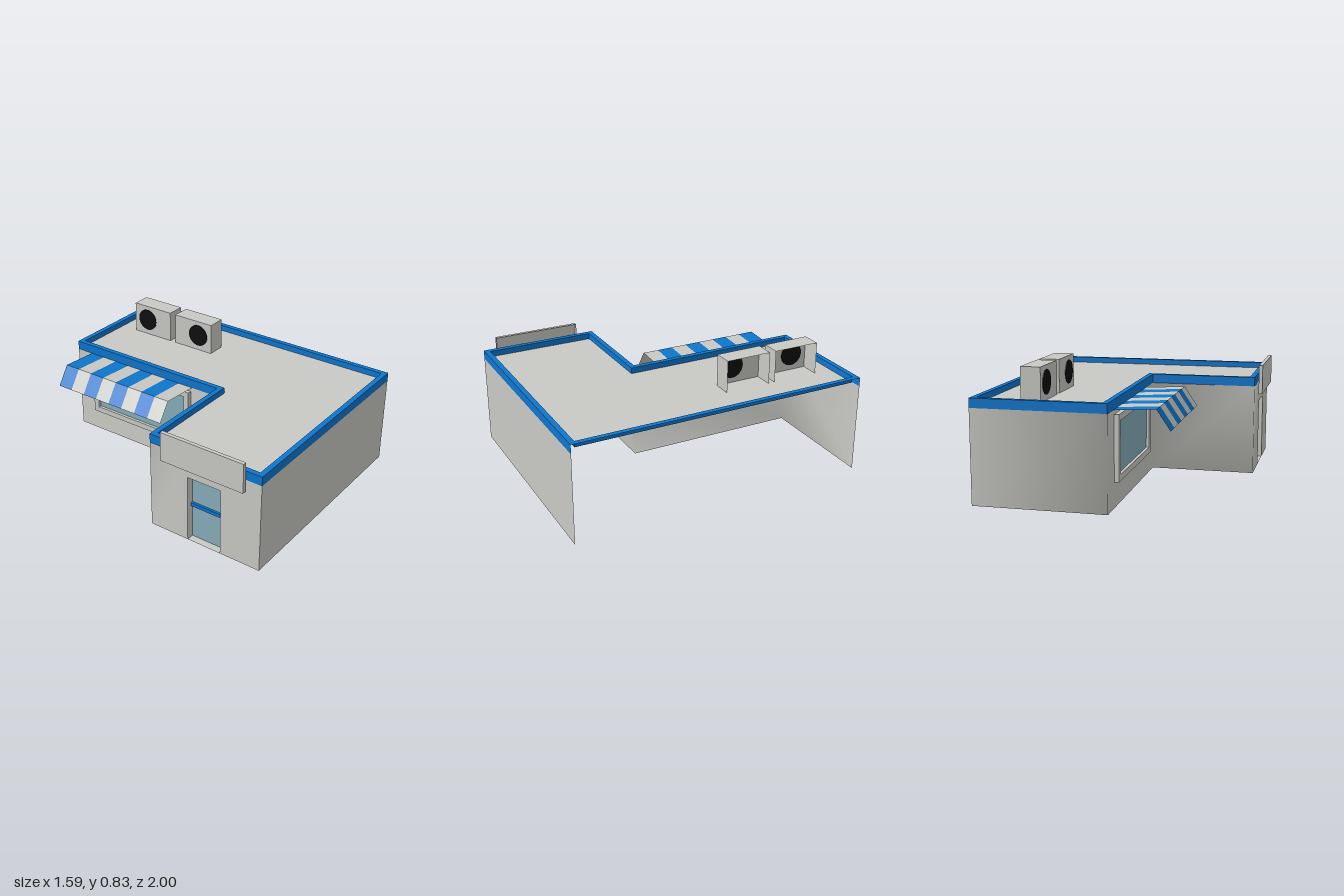
import * as THREE from 'three';

const material = (name, color) => {
  const m = new THREE.MeshStandardMaterial({ color, side: THREE.DoubleSide });
  m.name = name;
  return m;
};

// Quads joining two rows of points; smooth shares normals across the folds
function sheet(rowA, rowB, smooth = false) {
  const n = rowA.length, index = [];
  for (let i = 0; i < n - 1; i++) index.push(i, i + 1, n + i + 1, i, n + i + 1, n + i);
  let g = new THREE.BufferGeometry();
  g.setAttribute('position', new THREE.Float32BufferAttribute([...rowA, ...rowB].flat(), 3));
  g.setIndex(index);
  if (!smooth) g = g.toNonIndexed();
  g.computeVertexNormals();
  return g;
}

// Vertical strip following a ground path of [x, z] points
const strip = (path, y0, y1, smooth) =>
  sheet(path.map(([x, z]) => [x, y0, z]), path.map(([x, z]) => [x, y1, z]), smooth);

// Horizontal face from [x, z] outlines, facing up
function flat(outline, y, hole) {
  const pts = (list) => list.map(([x, z]) => new THREE.Vector2(x, -z));
  const shape = new THREE.Shape(pts(outline));
  if (hole) shape.holes.push(new THREE.Path(pts(hole)));
  return new THREE.ShapeGeometry(shape).rotateX(-Math.PI / 2).translate(0, y, 0);
}

// Box between two corners; open leaves out its +x face
function box([x0, y0, z0], [x1, y1, z1], open = false) {
  const g = new THREE.BoxGeometry(x1 - x0, y1 - y0, z1 - z0);
  g.translate((x0 + x1) / 2, (y0 + y1) / 2, (z0 + z1) / 2);
  if (open) {
    g.setIndex(Array.from(g.index.array).slice(6));
    g.clearGroups();
  }
  return g;
}

export function createModel() {
  const model = new THREE.Group();
  const grey = material('light grey', 0xc9c9c4);
  const blue = material('blue', 0x0e76cc);
  const glass = material('glass blue', 0x86aebb);
  const black = material('black', 0x0e0e0e);
  const add = (name, geometry, mat) => {
    const mesh = new THREE.Mesh(geometry, mat);
    mesh.name = name;
    model.add(mesh);
  };

  // L-shaped footprint, open along the +x side
  const outer = [[0.795, -1], [-0.055, -1], [-0.055, 0.2], [-0.755, 0.2], [-0.755, 1], [0.795, 1]];
  const inner = [[0.76, -0.965], [-0.02, -0.965], [-0.02, 0.235], [-0.72, 0.235], [-0.72, 0.965], [0.76, 0.965]];
  const wallTop = 0.6, trimTop = 0.66, roofY = 0.62;
  const side = -0.755, doorBack = -0.705, doorTop = 0.455, d0 = 0.48, d1 = 0.72;

  // Walls, with an opening for the door
  add('rearWalls', strip([...outer.slice(0, 4), [side, d0]], 0, wallTop, true), grey);
  add('doorLintel', strip([[side, d0], [side, d1]], doorTop, wallTop), grey);
  add('doorSideWall', strip([[side, d1], [side, 1]], 0, wallTop), grey);
  add('frontWall', strip(outer.slice(4), 0, wallTop), grey);

  // Recessed door: reveal, glass and push bar
  const reveal = [[0, d0], [doorTop, d0], [doorTop, d1], [0, d1], [0, d0]];
  add('doorReveal', sheet(reveal.map(([y, z]) => [side, y, z]), reveal.map(([y, z]) => [doorBack, y, z])), grey);
  add('doorGlass', strip([[doorBack, d0], [doorBack, d1]], 0, doorTop), glass);
  add('doorBar', box([doorBack - 0.015, 0.23, d0], [doorBack + 0.004, 0.255, d1]), blue);

  // Roof and its raised blue edge
  add('roof', flat(inner, roofY), grey);
  add('trimOuter', strip(outer, wallTop, trimTop), blue);
  add('trimTop', flat(outer, trimTop, inner), blue);
  add('trimInner', strip([...inner, inner[0]].reverse(), roofY, trimTop), blue);

  // Framed shop window
  const wx = -0.055, fx = -0.085, y0 = 0.16, y1 = 0.57, z0 = -0.85, z1 = -0.01, w = 0.04;
  add('windowFrameBottom', box([fx, y0, z0], [wx, y0 + w, z1], true), grey);
  add('windowFrameTop', box([fx, y1 - w, z0], [wx, y1, z1], true), grey);
  for (const z of [z0, z1 - w])
    add('windowFrameSide', box([fx, y0 + w, z], [wx, y1 - w, z + w], true), grey);
  add('windowGlass', strip([[-0.065, z0 + w], [-0.065, z1 - w]], y0 + w, y1 - w), glass);

  // Striped awning
  const profile = [[-0.055, 0.6], [-0.315, 0.615], [-0.4, 0.49]];
  const stripe = 0.875 / 8;
  for (let i = 0; i < 8; i++) {
    const z = -0.875 + i * stripe;
    const row = (rz) => profile.map(([x, y]) => [x, y, rz]);
    add('awningStripe', sheet(row(z), row(z + stripe)), i % 2 ? grey : blue);
  }

  // Sign board by the door
  add('signBoard', box([-0.795, 0.53, 0.31], [-0.77, 0.727, 0.9], true), grey);

  // Rooftop air conditioners, each with a round fan
  for (const [za, zb, fan] of [[-0.48, -0.17, -0.28], [-0.84, -0.525, -0.73]]) {
    add('airConditioner', box([0.4, roofY, za], [0.528, 0.835, zb], true), grey);
    const disc = new THREE.CylinderGeometry(0.077, 0.077, 0.008, 32).rotateZ(Math.PI / 2);
    add('fan', disc.translate(0.4, 0.73, fan), black);
  }
  return model;
}
